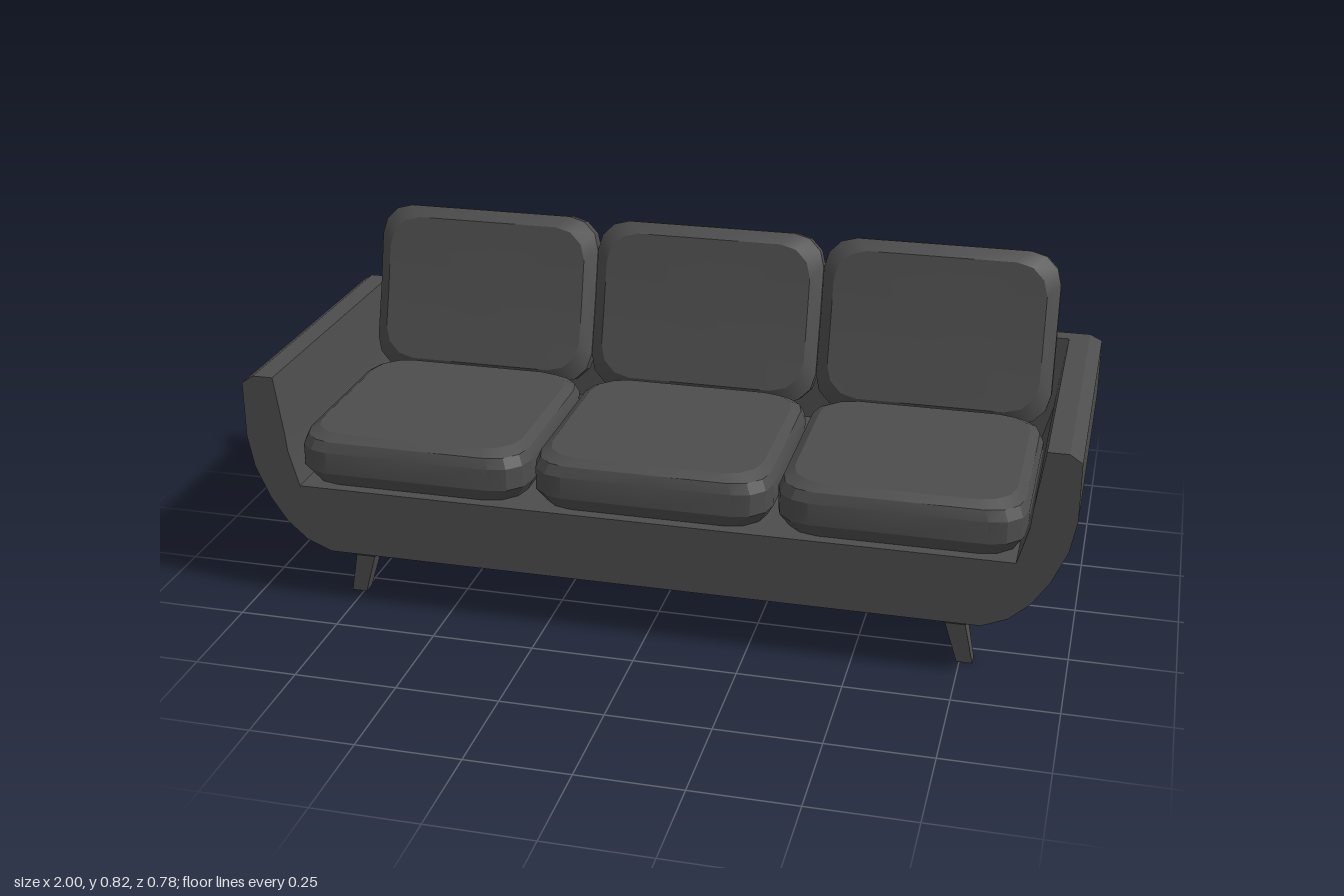
import * as THREE from 'three';
import { toCreasedNormals } from 'three/addons/utils/BufferGeometryUtils.js';

const fabric = new THREE.MeshStandardMaterial({ name: 'charcoal', color: 0x4d4d4d });

function part(name, geometry, parent, crease = 0.5) {
  const mesh = new THREE.Mesh(toCreasedNormals(geometry, crease), fabric);
  mesh.name = name;
  parent.add(mesh);
  return mesh;
}

// Closed solid through rings of [x, y, z], counter-clockwise about +z, capped by fans
function loft(rings) {
  const n = rings[0].length, pos = rings.flat(2), index = [];
  for (let r = 0; r < rings.length - 1; r++)
    for (let i = 0; i < n; i++) {
      const a = r * n + i, b = r * n + (i + 1) % n;
      index.push(a, b, b + n, a, b + n, a + n);
    }
  const last = (rings.length - 1) * n, c = rings.length * n;
  for (const ring of [rings[0], rings[rings.length - 1]])
    for (let k = 0; k < 3; k++) pos.push(ring.reduce((s, p) => s + p[k], 0) / n);
  for (let i = 0; i < n; i++) {
    const j = (i + 1) % n;
    index.push(c, j, i, c + 1, last + i, last + j);
  }
  const g = new THREE.BufferGeometry();
  g.setAttribute('position', new THREE.Float32BufferAttribute(pos, 3));
  g.setIndex(index);
  return g;
}

// Rectangle with rounded corners and a midpoint on every side
function roundedRing(hx, hy, r, z) {
  const pts = [];
  const corners = [[1, 1], [-1, 1], [-1, -1], [1, -1]];
  const mids = [[0, hy], [-hx, 0], [0, -hy], [hx, 0]];
  corners.forEach(([sx, sy], q) => {
    for (let k = 0; k <= 3; k++) {
      const a = (q + k / 3) * Math.PI / 2;
      pts.push([sx * (hx - r) + r * Math.cos(a), sy * (hy - r) + r * Math.sin(a), z]);
    }
    pts.push([...mids[q], z]);
  });
  return pts;
}

function cushion(hx, hy, r, layers) {
  return loft(layers.map(([z, inset]) => roundedRing(hx - inset, hy - inset, r, z)));
}

function createModel() {
  const sofa = new THREE.Group();
  sofa.name = 'sofa';

  // Outer right side of the shell, from the top down
  const side = [[1, 0.57], [1, 0.43], [0.985, 0.35], [0.95, 0.27], [0.91, 0.21], [0.86, 0.165], [0.8, 0.14]];
  const inner = [[0.87, 0.31], [0.895, 0.4], [0.9, 0.45], [0.92, 0.59]];
  const mirror = (pts) => pts.map(([x, y]) => [-x, y]).reverse();
  const outline = (pts) => new THREE.Shape(pts.map(([x, y]) => new THREE.Vector2(x, y)));

  // U-shaped seat base with both arms
  const shell = outline([[0.97, 0.59], ...side, ...mirror(side), [-0.97, 0.59], ...mirror(inner), ...inner]);
  part('baseAndArms', new THREE.ExtrudeGeometry(shell, { depth: 0.72, bevelEnabled: false }), sofa)
    .position.z = -0.33;

  // Back panel and its chamfered top rail
  const back = outline([...side, ...mirror(side)]);
  part('backPanel', new THREE.ExtrudeGeometry(back, { depth: 0.06, bevelEnabled: false }), sofa)
    .position.z = -0.39;
  const rail = new THREE.BoxGeometry(2, 0.02, 0.06).translate(0, 0.58, -0.36);
  const p = rail.attributes.position;
  for (let i = 0; i < p.count; i++)
    if (p.getY(i) > 0.58) {
      p.setX(i, Math.sign(p.getX(i)) * 0.97);
      if (p.getZ(i) < -0.36) p.setZ(i, -0.375);
    }
  part('backTopRail', rail, sofa);

  // Three seat cushions and three leaning back cushions
  for (const x of [-0.595, 0, 0.595]) {
    const seat = cushion(0.292, 0.285, 0.085,
      [[0.305, 0.022], [0.345, 0], [0.4, 0], [0.425, 0.01], [0.44, 0.032]]).rotateX(-Math.PI / 2);
    part('seatCushion', seat, sofa, 0.4).position.set(x, 0, 0.095);

    const rest = cushion(0.297, 0.217, 0.08,
      [[-0.042, 0.04], [-0.02, 0], [0.017, 0], [0.04, 0.03]]);
    const q = rest.attributes.position;
    for (let i = 0; i < q.count; i++) q.setZ(i, q.getZ(i) + 0.2 * q.getY(i) ** 2);
    rest.rotateX(-0.28);
    part('backCushion', rest, sofa, 0.4).position.set(x, 0.607, -0.268);
  }

  // Four splayed legs with flared mounting plates: [y, splay, half width, half depth]
  const legRings = [[0, 0.762, 0.019, 0.017], [0.105, 0.736, 0.024, 0.025], [0.125, 0.732, 0.044, 0.043], [0.145, 0.732, 0.046, 0.043]];
  for (const sx of [-1, 1])
    for (const z of [-0.305, 0.305]) {
      const leg = loft(legRings.map(([y, x, hx, hz]) =>
        [[1, 1], [-1, 1], [-1, -1], [1, -1]].map(([a, b]) => [sx * x + a * hx, b * hz, y])));
      part(z > 0 ? 'frontLeg' : 'backLeg', leg.rotateX(-Math.PI / 2), sofa).position.z = z;
    }
  return sofa;
}

export { createModel };
